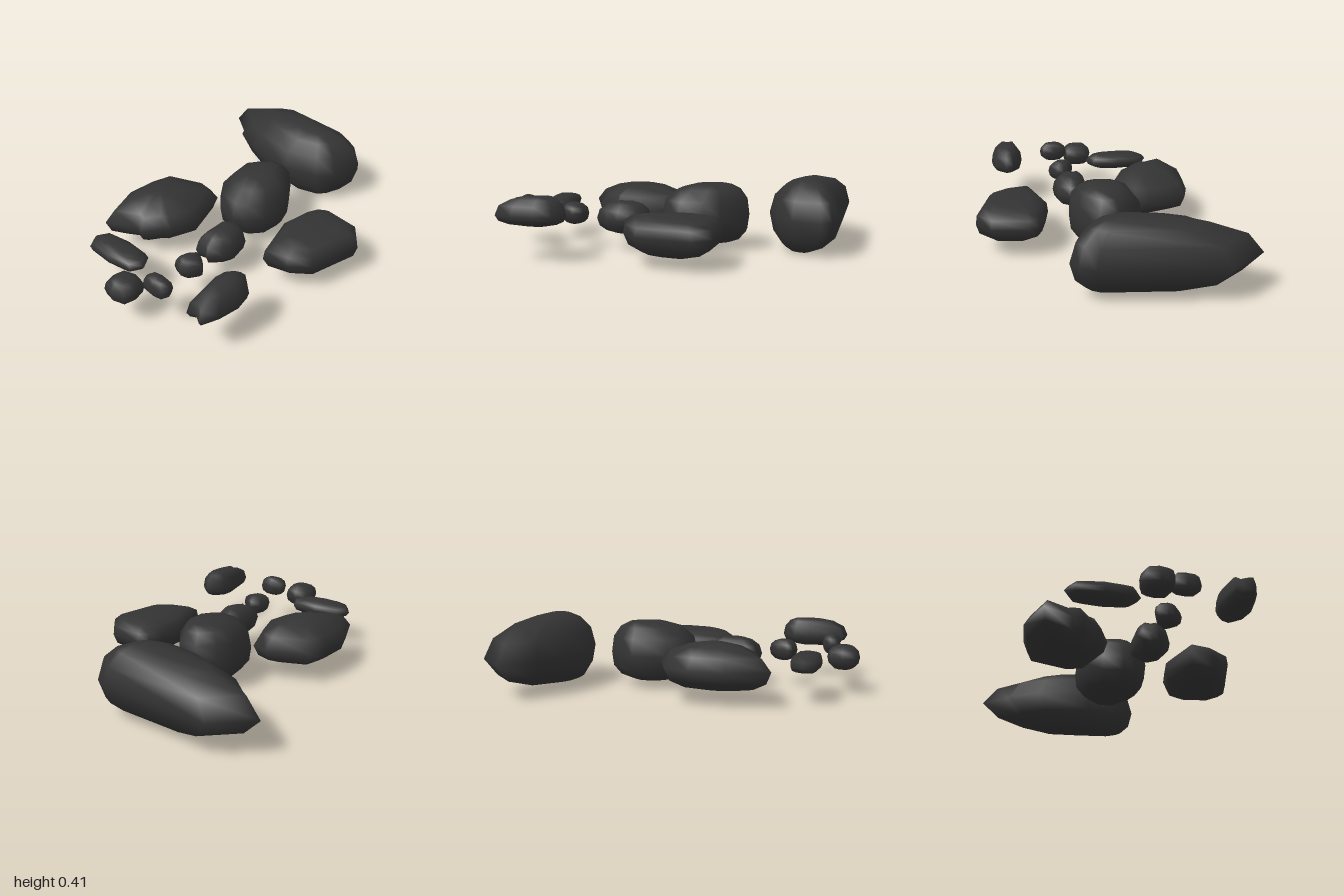
import * as THREE from 'three';

const material = new THREE.MeshStandardMaterial({ color: 0x333333 });

// Stacks shrinking copies of an [x, z] outline above and below its widest ring.
// Each peak is [x, z, boxiness]; boxiness 2 is round, higher is blockier.
function stone(name, outline, [low, mid, high], top, bottom) {
  const levels = [-0.96, -0.82, -0.5, 0, 0.5, 0.82, 0.96];
  const n = outline.length;
  const pos = [];
  const index = [];
  for (const t of levels) {
    const [peakX, peakZ, boxiness] = t < 0 ? bottom : top;
    const scale = Math.pow(1 - Math.pow(Math.abs(t), boxiness), 1 / boxiness);
    const height = mid + t * (t < 0 ? mid - low : high - mid);
    for (const [x, z] of outline) {
      pos.push(peakX + (x - peakX) * scale, height, peakZ + (z - peakZ) * scale);
    }
  }
  const base = levels.length * n;
  const last = base - n;
  pos.push(bottom[0], low, bottom[1], top[0], high, top[1]);

  for (let i = 0; i < n; i++) {
    const j = (i + 1) % n;
    for (let r = 0; r < last; r += n) {
      index.push(r + i, r + n + i, r + n + j, r + i, r + n + j, r + j);
    }
    index.push(base, i, j, base + 1, last + j, last + i); // bottom and top caps
  }
  const geometry = new THREE.BufferGeometry();
  geometry.setAttribute('position', new THREE.Float32BufferAttribute(pos, 3));
  geometry.setIndex(index);
  geometry.computeVertexNormals();
  const mesh = new THREE.Mesh(geometry, material);
  mesh.name = name;
  return mesh;
}

// A small stone with a rounded eight-sided outline.
function pebble(name, [x, y, z], [rx, ry, rz]) {
  const soften = (v) => Math.sign(v) * Math.pow(Math.abs(v), 0.65);
  const outline = [];
  for (let i = 0; i < 8; i++) {
    const angle = (i * Math.PI) / 4;
    outline.push([x + rx * soften(Math.cos(angle)), z + rz * soften(Math.sin(angle))]);
  }
  return stone(name, outline, [y - ry, y, y + ry], [x, z, 2.3], [x, z, 2.3]);
}

export function createModel() {
  const group = new THREE.Group();
  group.name = 'scatteredStones';

  // Boulders
  group.add(
    stone('largeLongBoulder', [[0.83, -0.71], [1, -0.51], [0.93, 0.15], [0.88, 0.23], [0.82, 0.27],
      [0.66, 0.21], [0.58, 0.13], [0.53, -0.08], [0.59, -0.37], [0.68, -0.55], [0.72, -0.57]],
    [0, 0.2, 0.41], [0.76, 0, 2.1], [0.7, 0.06, 2]),
    stone('backBoulder', [[-0.35, -0.57], [-0.15, -0.55], [-0.02, -0.51], [0.06, -0.275], [0.025, -0.18],
      [-0.23, -0.095], [-0.39, -0.16], [-0.415, -0.2], [-0.515, -0.27], [-0.495, -0.33], [-0.58, -0.49]],
    [0.06, 0.19, 0.32], [-0.27, -0.36, 1.8], [-0.29, -0.33, 2.3]),
    stone('middleBoulder', [[0.25, -0.2], [0.33, -0.14], [0.415, -0.05], [0.415, 0.06], [0.27, 0.16],
      [0.17, 0.195], [0.03, 0.18], [-0.055, 0.105], [-0.08, 0.03], [-0.055, -0.085], [0.05, -0.18]],
    [0.03, 0.19, 0.375], [0.24, 0, 2.6], [0.2, 0, 2.9]),
    stone('frontBoulder', [[0.04, 0.3], [0.205, 0.33], [0.28, 0.365], [0.31, 0.42], [0.28, 0.63],
      [0.18, 0.71], [-0.125, 0.63], [-0.205, 0.52], [-0.235, 0.38]],
    [0.055, 0.17, 0.272], [0.07, 0.5, 3.2], [0.07, 0.53, 2.3]),
  );

  // Medium stones, one of them notched at its outer end
  group.add(
    stone('notchedStone', [[-0.885, 0.435], [-0.68, 0.4], [-0.59, 0.415], [-0.535, 0.46], [-0.515, 0.505],
      [-0.575, 0.57], [-0.67, 0.59], [-0.8, 0.57], [-0.9, 0.53], [-0.865, 0.48]],
    [0.19, 0.25, 0.355], [-0.64, 0.485, 2.4], [-0.68, 0.49, 2.4]),
    stone('middleStone', [[-0.42, 0.06], [-0.37, 0.04], [-0.185, 0.04], [-0.13, 0.105], [-0.135, 0.15],
      [-0.185, 0.215], [-0.3, 0.24], [-0.37, 0.21], [-0.435, 0.15], [-0.41, 0.115]],
    [0.095, 0.18, 0.28], [-0.27, 0.13, 2.3], [-0.28, 0.14, 2.3]),
  );

  // Pebbles
  group.add(
    stone('pointedPebble', [[-0.59, 0.085], [-0.53, 0.105], [-0.48, 0.15], [-0.505, 0.19], [-0.555, 0.24],
      [-0.63, 0.19], [-0.64, 0.15], [-0.62, 0.095]],
    [0.145, 0.21, 0.27], [-0.565, 0.15, 2.3], [-0.56, 0.16, 2.3]),
    pebble('narrowPebble', [-0.83, 0.25, 0.185], [0.05, 0.06, 0.085]),
    pebble('longPebble', [-0.73, 0.205, -0.215], [0.085, 0.05, 0.195]),
    pebble('outerPebble', [-0.91, 0.2, 0.02], [0.09, 0.07, 0.09]),
  );
  return group;
}
